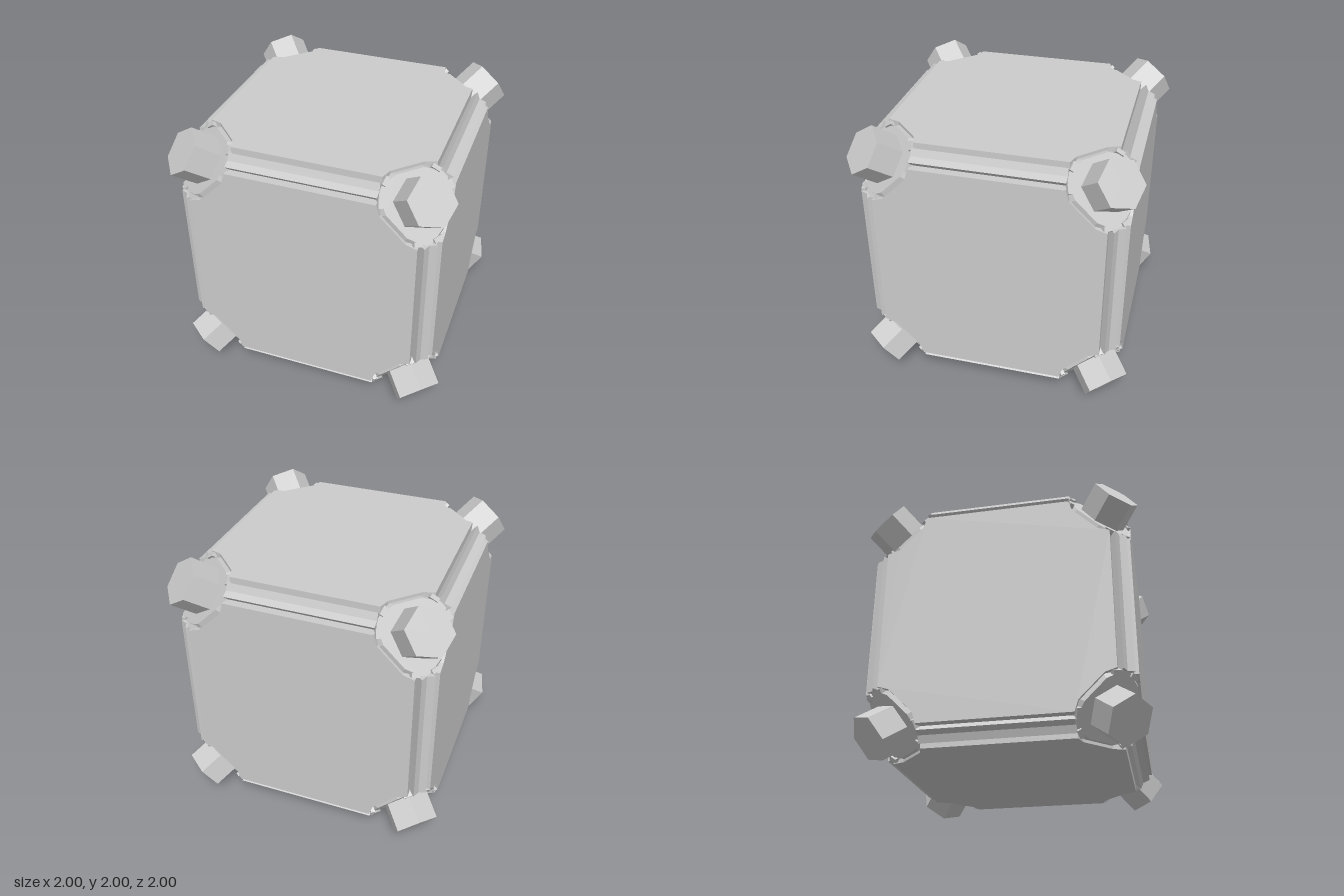
import * as THREE from 'three';
import { ConvexGeometry } from 'three/addons/geometries/ConvexGeometry.js';

const SIGNS = [-1, 1];
const material = new THREE.MeshStandardMaterial({ color: 0xcccccc, flatShading: true });
const diagonal = new THREE.Vector3(1, 1, 1).normalize();
const zAxis = new THREE.Vector3(0, 0, 1);
const xAxis = new THREE.Vector3(1, 0, 0);
const turn = (axis, angle) => new THREE.Quaternion().setFromAxisAngle(axis, angle);

function add(parent, name, geometry) {
  const mesh = new THREE.Mesh(geometry, material);
  mesh.name = name;
  parent.add(mesh);
  return mesh;
}

// Constant section along z, centred on z = 0
function extrude(points, length) {
  const shape = new THREE.Shape(points.map(([x, y]) => new THREE.Vector2(x, y)));
  return new THREE.ExtrudeGeometry(shape, { depth: length, bevelEnabled: false })
    .translate(0, 0, -length / 2);
}

// Inner cube with its eight corners cut off
function coreGeometry(half, cut) {
  const points = [];
  for (const x of SIGNS) for (const y of SIGNS) for (const z of SIGNS) {
    points.push(
      new THREE.Vector3(x * half, y * half, z * cut),
      new THREE.Vector3(x * half, y * cut, z * half),
      new THREE.Vector3(x * cut, y * half, z * half));
  }
  return new ConvexGeometry(points);
}

// Flat face panel whose corners are cut away around the corner plates
function panelGeometry() {
  const corner = [[0.80, 0.52], [0.72, 0.545], [0.545, 0.72], [0.52, 0.80]];
  const outline = [];
  for (let k = 0; k < 4; k++) {
    for (const [x, y] of corner) {
      const p = new THREE.Vector2(x, y).rotateAround(new THREE.Vector2(), k * Math.PI / 2);
      outline.push([p.x, p.y]);
    }
  }
  return extrude(outline, 0.08).translate(0, 0, 0.89);
}

// Nine-sided bevelled plate: three long sides face the panels, three points face the rails
function plateGeometry() {
  const rings = [[1.12, 0.24, 0.28], [1.24, 0.26, 0.31], [1.285, 0.235, 0.29]];
  const points = [];
  for (const [level, side, tip] of rings) {
    for (let k = 0; k < 3; k++) {
      for (const [degrees, r] of [[-26, side], [26, side], [60, tip]]) {
        const a = THREE.MathUtils.degToRad(degrees + 120 * k);
        points.push(new THREE.Vector3(r * Math.cos(a), level, r * Math.sin(a)));
      }
    }
  }
  return new ConvexGeometry(points);
}

// Corner plate with clips around each rail end and a hexagonal bolt, built along local y
function makeCorner(x, y, z) {
  const corner = new THREE.Group();
  corner.name = 'cornerFitting';
  add(corner, 'cornerPlate', plateGeometry());
  const length = 0.34;
  add(corner, 'hexBolt', new THREE.CylinderGeometry(0.175, 0.175, length, 6)
    .rotateY(THREE.MathUtils.degToRad(42))
    .translate(0, 1.49 - length / 2, 0));
  for (let k = 0; k < 3; k++) for (const s of SIGNS) {
    add(corner, 'railClip', new THREE.BoxGeometry(0.03, 0.05, 0.065)
      .translate(0.262, 1.275, 0)
      .rotateY(THREE.MathUtils.degToRad(60 + 120 * k + 16 * s)));
  }
  // Aim local y out along the cube diagonal
  const out = new THREE.Vector3(x, y, z).normalize();
  const side = new THREE.Vector3(-x, -y, 2 * z).normalize();
  const across = new THREE.Vector3().crossVectors(side, out);
  corner.quaternion.setFromRotationMatrix(new THREE.Matrix4().makeBasis(side, out, across));
  return corner;
}

export function createModel() {
  const model = new THREE.Group();
  model.name = 'cube';
  const centre = new THREE.Group();
  centre.name = 'cubeAssembly';
  centre.position.y = 1;
  model.add(centre);

  add(centre, 'core', coreGeometry(0.85, 0.41));

  // Edge rail section: two ridges with a V groove along the edge
  const railSection = [
    [0.80, 0.80], [0.87, 0.80], [0.91, 0.84], [0.86, 0.86], [0.84, 0.91], [0.80, 0.87]
  ];

  // Two panels and four rails per axis, the axes swapped by turning about the diagonal
  for (let axis = 0; axis < 3; axis++) {
    const toAxis = turn(diagonal, axis * Math.PI * 2 / 3);
    for (let k = 0; k < 2; k++) {
      add(centre, 'facePanel', panelGeometry())
        .quaternion.copy(toAxis).multiply(turn(xAxis, k * Math.PI));
    }
    for (let k = 0; k < 4; k++) {
      add(centre, 'edgeRail', extrude(railSection, 1.04))
        .quaternion.copy(toAxis).multiply(turn(zAxis, k * Math.PI / 2));
    }
  }

  // Eight corner fittings
  for (const x of SIGNS) for (const y of SIGNS) for (const z of SIGNS) {
    centre.add(makeCorner(x, y, z));
  }
  return model;
}
